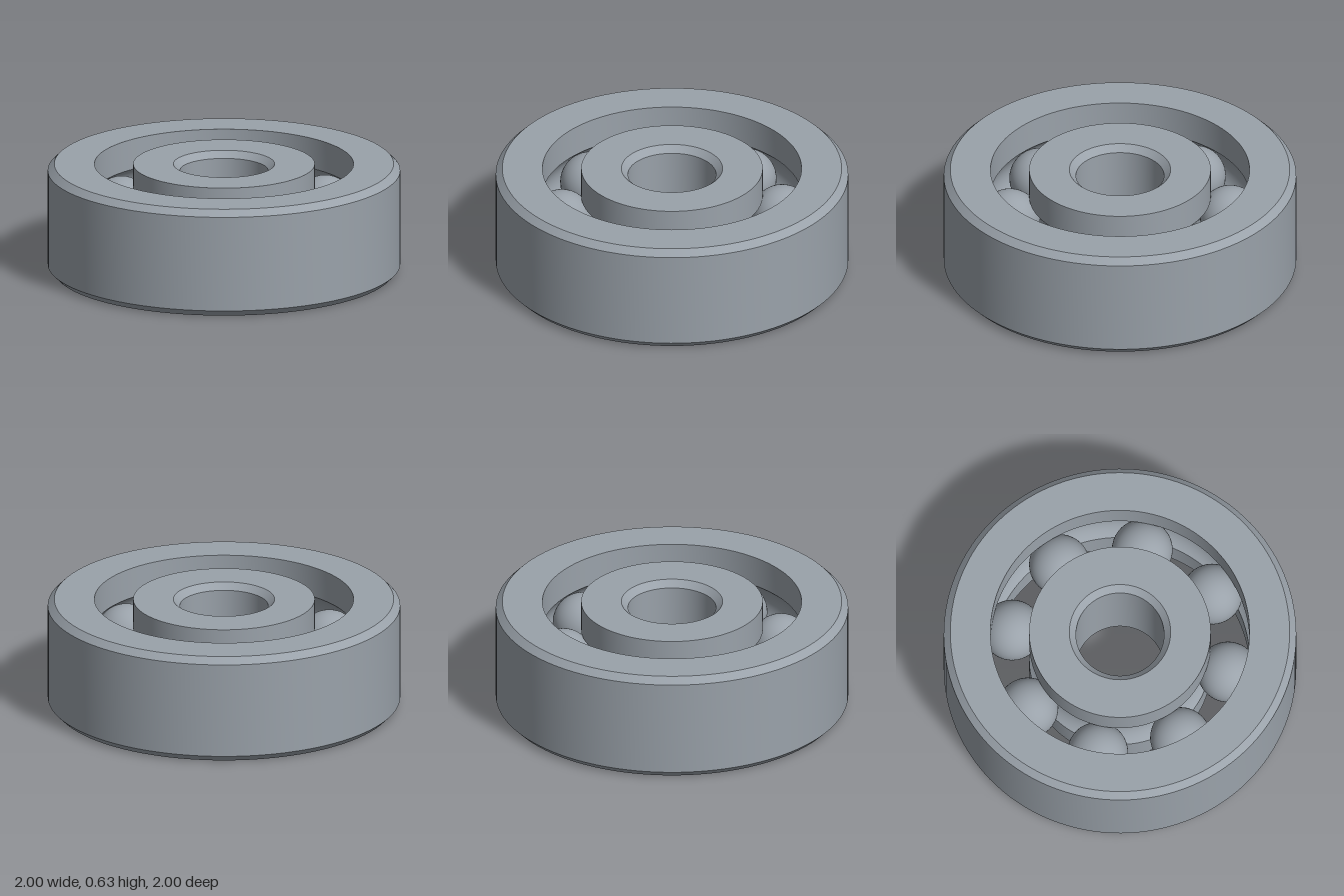
import * as THREE from 'three';
import { toCreasedNormals } from 'three/addons/utils/BufferGeometryUtils.js';

const HEIGHT = 0.626, MID = HEIGHT / 2;
const OUTER = 1, BORE = 0.25, CHAMFER = 0.0375;
const PITCH = 0.625, GAP = 0.11;          // ball circle radius, half gap between the rings
const BALL = 0.1725, GROOVE = 0.175;
const BALL_COUNT = 8, FIRST_ANGLE = THREE.MathUtils.degToRad(-12);

// Points of the ball groove, side = 1 for the outer ring, -1 for the inner ring
function groove(side, steps = 18) {
  const half = Math.acos(GAP / GROOVE);
  return Array.from({ length: steps + 1 }, (_, i) => {
    const a = side * half * (1 - (2 * i) / steps);
    return [PITCH + side * GROOVE * Math.cos(a), MID + GROOVE * Math.sin(a)];
  });
}

// Closed counter-clockwise profile of [radius, y] turned around the axis
function ring(name, profile, material) {
  const points = [...profile, profile[0]].map(([r, y]) => new THREE.Vector2(r, y));
  const geometry = toCreasedNormals(new THREE.LatheGeometry(points, 120), 0.5);
  const mesh = new THREE.Mesh(geometry, material);
  mesh.name = name;
  return mesh;
}

export function createModel() {
  const steel = new THREE.MeshStandardMaterial({ color: 0x9aa2aa });
  steel.name = 'steel';

  const model = new THREE.Group();
  model.name = 'ballBearing';

  // Outer ring: chamfered rim outside, groove inside
  model.add(ring('outerRing', [
    [OUTER - CHAMFER, 0], [OUTER, CHAMFER],
    [OUTER, HEIGHT - CHAMFER], [OUTER - CHAMFER, HEIGHT],
    [PITCH + GAP, HEIGHT], ...groove(1), [PITCH + GAP, 0],
  ], steel));

  // Inner ring: groove outside, chamfered bore
  model.add(ring('innerRing', [
    [PITCH - GAP, 0], ...groove(-1), [PITCH - GAP, HEIGHT],
    [BORE + CHAMFER, HEIGHT], [BORE, HEIGHT - CHAMFER],
    [BORE, CHAMFER], [BORE + CHAMFER, 0],
  ], steel));

  // Balls evenly spaced between the rings
  const balls = new THREE.Group();
  balls.name = 'balls';
  const ballGeometry = new THREE.SphereGeometry(BALL, 40, 24);
  for (let i = 0; i < BALL_COUNT; i++) {
    const a = FIRST_ANGLE + (i * 2 * Math.PI) / BALL_COUNT;
    const ball = new THREE.Mesh(ballGeometry, steel);
    ball.name = 'ball';
    ball.position.set(PITCH * Math.cos(a), MID, -PITCH * Math.sin(a));
    balls.add(ball);
  }
  model.add(balls);

  return model;
}
